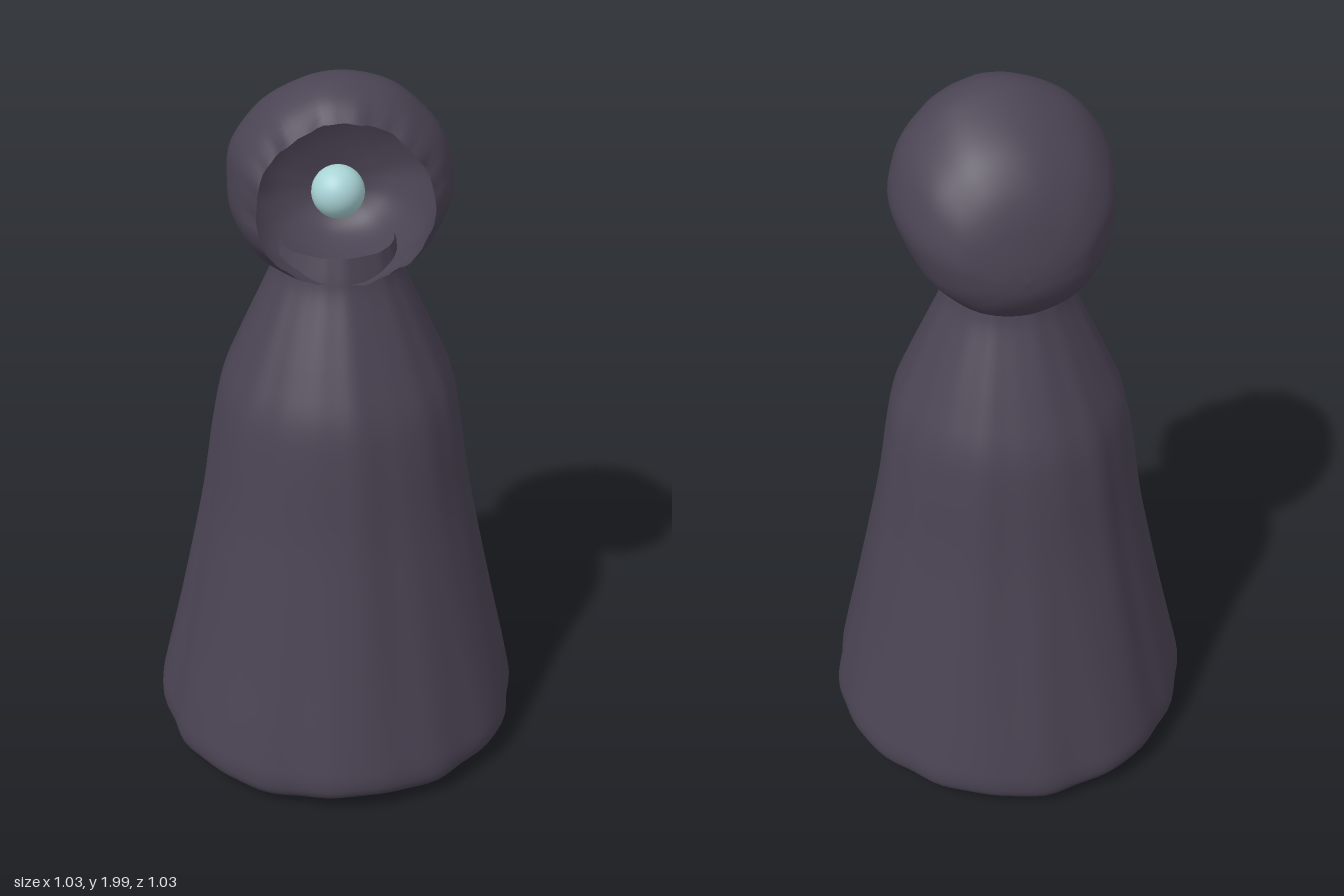
import * as THREE from 'three';

const TAU = Math.PI * 2;

// Skins a stack of closed rings; point(i, a) gives each vertex, a is the angle.
function loft(rings, sides, point) {
  const pos = [], idx = [];
  for (let i = 0; i < rings; i++)
    for (let j = 0; j < sides; j++) pos.push(...point(i, (j / sides) * TAU));
  for (let i = 0; i < rings - 1; i++)
    for (let j = 0; j < sides; j++) {
      const k = (j + 1) % sides;
      const a = i * sides + j, b = i * sides + k, c = b + sides, d = a + sides;
      idx.push(a, b, c, a, c, d);
    }
  const g = new THREE.BufferGeometry();
  g.setAttribute('position', new THREE.Float32BufferAttribute(pos, 3));
  g.setIndex(idx);
  g.computeVertexNormals();
  return g;
}

// Irregular cloth folds running down the robe
const folds = (a, y) =>
  0.45 * Math.sin(7 * a + 0.8 + y) + 0.35 * Math.sin(12 * a + 2 - 1.5 * y) +
  0.25 * Math.sin(19 * a + 4 + 2 * y);

// Robe outline as radius and height, from under the hem to the neck
const robeProfile = new THREE.SplineCurve([
  [0.001, 0.035], [0.2, 0.03], [0.36, 0.024], [0.45, 0.03], [0.5, 0.06], [0.514, 0.11],
  [0.498, 0.2], [0.453, 0.4], [0.41, 0.6], [0.37, 0.8], [0.34, 1.0], [0.315, 1.12],
  [0.27, 1.23], [0.225, 1.33], [0.18, 1.43], [0.165, 1.48], [0.15, 1.53],
].map(([r, y]) => new THREE.Vector2(r, y)));

function robeGeometry() {
  const n = 70;
  return loft(n, 96, (i, a) => {
    const p = robeProfile.getPoint(i / (n - 1));
    const r = p.x * (1 + 0.017 * folds(a, p.y));
    // scalloped hem
    const hem = Math.max(0, 1 - p.y / 0.25) * Math.min(1, p.x / 0.4);
    const y = p.y + hem * 0.016 * Math.sin(5 * a + 1.2) * Math.cos(2 * a);
    return [r * Math.sin(a), y, r * Math.cos(a)];
  });
}

// Hood cross-sections from back to front: z, lowest y, highest y, half width
const sections = [
  [-0.237, 1.61, 1.612, 0.001], [-0.23, 1.56, 1.67, 0.07], [-0.205, 1.51, 1.765, 0.15],
  [-0.165, 1.47, 1.845, 0.205], [-0.1, 1.445, 1.915, 0.253], [0, 1.435, 1.972, 0.282],
  [0.09, 1.435, 2.0, 0.286], [0.18, 1.445, 1.975, 0.262], [0.25, 1.465, 1.925, 0.22],
];
const spans = new THREE.CatmullRomCurve3(
  sections.map(([z, lo, hi]) => new THREE.Vector3(z, lo, hi)), false, 'catmullrom');
const widths = new THREE.CatmullRomCurve3(
  sections.map((s) => new THREE.Vector3(s[3], 0, 0)), false, 'catmullrom');

// Point on the hood; inset shrinks it for the lining, and the rim stays shared
function hoodPoint(t, a, inset) {
  const s = spans.getPoint(t), w = widths.getPoint(t).x;
  const k = 1 - inset * Math.min(1, (1 - t) * 6);
  const wrinkle = 1 + 0.012 * Math.sin(5 * a + 1) + 0.007 * Math.sin(11 * a + 3 * t);
  const x = w * k * wrinkle * Math.cos(a);
  const y = (s.y + s.z) / 2 + ((s.z - s.y) / 2) * k * Math.sin(a) * (1 + (wrinkle - 1) * 0.3);
  let z = 0.25 + (s.x - 0.25) * (1 - inset * 1.3);
  // chin edge slopes back, and the rim is slightly ragged
  const front = Math.max(0, z) / 0.25;
  z -= front * Math.max(0, 1.62 - y) * 0.5;
  z += front ** 4 * (0.008 * Math.sin(9 * a + 1) + 0.005 * Math.sin(23 * a));
  return [x, y, z];
}

export function createModel() {
  const cloth = new THREE.MeshStandardMaterial({ color: 0x4a4353 });
  cloth.name = 'dark plum cloth';
  const glow = new THREE.MeshStandardMaterial({ color: 0xa9d3d6 });
  glow.name = 'pale cyan orb';

  const group = new THREE.Group();
  group.name = 'hoodedFigure';
  const add = (name, geometry, material) => {
    const mesh = new THREE.Mesh(geometry, material);
    mesh.name = name;
    group.add(mesh);
    return mesh;
  };

  add('robe', robeGeometry(), cloth);

  // Hood shell and its lining
  const n = 40;
  add('hood', loft(n, 80, (i, a) => hoodPoint(i / (n - 1), a, 0)), cloth);
  add('hoodLining', loft(n, 80, (i, a) => hoodPoint(1 - i / (n - 1), a, 0.08)), cloth);

  // Single orb floating inside the hood
  add('orb', new THREE.SphereGeometry(0.068, 32, 20), glow).position.set(-0.005, 1.69, 0.09);

  return group;
}
